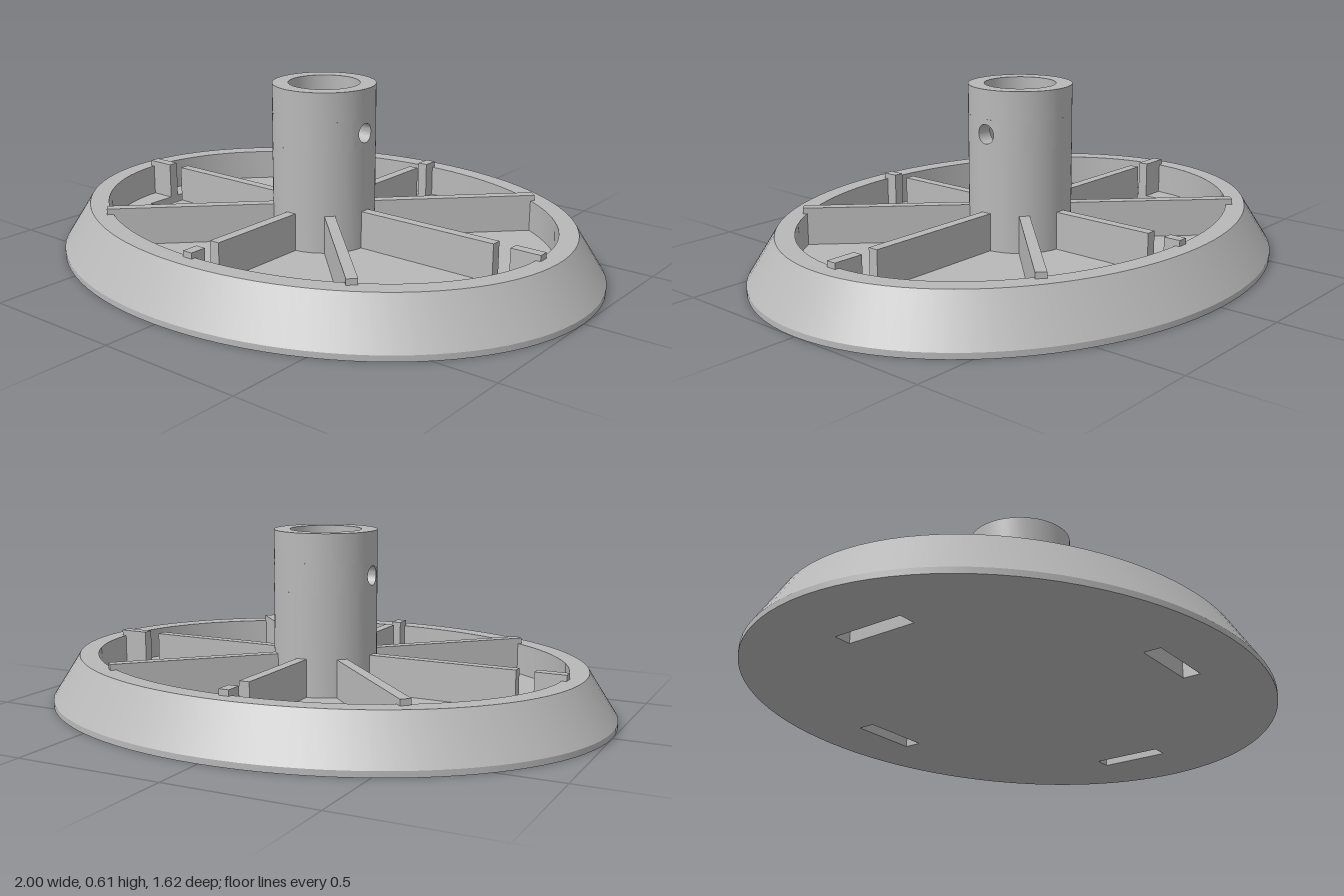
import * as THREE from 'three';
import { mergeGeometries, toCreasedNormals } from 'three/addons/utils/BufferGeometryUtils.js';

const FLOOR = 0.06, RIB_TOP = 0.19, RIB_WIDTH = 0.036;
const OUT = 0.177, IN = 0.122, POST_TOP = 0.61; // post radii and height
const HOLE_Y = 0.46, HOLE_R = 0.033, HALF = 0.05; // cross hole and its patch
const PATCH = HALF / OUT; // half angle of the patch

const lathe = (points, segments, start = 0, length = Math.PI * 2) =>
  new THREE.LatheGeometry(points.map(([r, y]) => new THREE.Vector2(r, y)), segments, start, length);

// Sloped oval rim: each ring is an ellipse with its depth 0.19 less than its width
function rimGeometry() {
  const g = lathe([[0.84, 0], [1, 0], [1, 0.02], [0.905, 0.17], [0.84, 0.17], [0.84, FLOOR]], 96);
  const p = g.attributes.position;
  for (let i = 0; i < p.count; i++) {
    const r = Math.hypot(p.getX(i), p.getZ(i));
    p.setZ(i, p.getZ(i) * (r - 0.19) / r);
  }
  return toCreasedNormals(g, 0.4);
}

// Oval floor with four slots
function floorGeometry() {
  const shape = new THREE.Shape();
  shape.absellipse(0, 0, 0.84, 0.65, 0, Math.PI * 2);
  const slot = (x, y, w, h) => {
    const a = w / 2, b = h / 2;
    shape.holes.push(new THREE.Path([[-a, -b], [-a, b], [a, b], [a, -b]]
      .map(([u, v]) => new THREE.Vector2(x + u, y + v))));
  };
  for (const s of [-1, 1]) {
    slot(s * 0.72, 0, 0.06, 0.25);
    slot(0, s * 0.577, 0.25, 0.06);
  }
  const g = new THREE.ExtrudeGeometry(shape, { depth: FLOOR, bevelEnabled: false, curveSegments: 96 });
  return g.rotateX(-Math.PI / 2);
}

// Curved wall patch pierced by a round hole, running outer face, bore, inner face
function holePatch(centre) {
  const g = new THREE.PlaneGeometry(1, 1, 32, 3);
  const p = g.attributes.position, uv = g.attributes.uv;
  for (let i = 0; i < p.count; i++) {
    const t = uv.getX(i) * Math.PI * 2, row = Math.round(uv.getY(i) * 3);
    const c = Math.cos(t), s = Math.sin(t);
    const R = row < 2 ? OUT : IN;
    const onHole = row === 1 || row === 2;
    const k = 1 / Math.max(Math.abs(c), Math.abs(s));
    const angle = centre + (onHole ? Math.asin(HOLE_R * c / R) : PATCH * k * c);
    const y = HOLE_Y + (onHole ? HOLE_R * s : HALF * k * s);
    p.setXYZ(i, R * Math.sin(angle), y, R * Math.cos(angle));
  }
  return g;
}

// Hollow post with a cross hole along x
function postGeometry() {
  const low = HOLE_Y - HALF, high = HOLE_Y + HALF;
  const parts = [
    lathe([[OUT, FLOOR], [OUT, low]], 64),
    lathe([[IN, low], [IN, FLOOR]], 64),
    lathe([[OUT, high], [OUT, POST_TOP], [IN, POST_TOP], [IN, high]], 64),
  ];
  for (const centre of [Math.PI / 2, -Math.PI / 2]) {
    const start = centre + PATCH, length = Math.PI - 2 * PATCH;
    parts.push(lathe([[OUT, low], [OUT, high]], 32, start, length));
    parts.push(lathe([[IN, high], [IN, low]], 32, start, length));
    parts.push(holePatch(centre));
  }
  return toCreasedNormals(mergeGeometries(parts), 0.6);
}

export function createModel() {
  const model = new THREE.Group();
  const grey = new THREE.MeshStandardMaterial({ color: 0xb8b8b8 });
  grey.name = 'plain grey';
  const add = (name, geometry) => {
    const mesh = new THREE.Mesh(geometry, grey);
    mesh.name = name;
    model.add(mesh);
    return mesh;
  };

  add('rim', rimGeometry());
  add('slottedFloor', floorGeometry());
  add('post', postGeometry());

  // Radial ribs; those along the axes are interrupted by the slots
  const rib = (name, angle, from, to) => {
    const g = new THREE.BoxGeometry(to - from, RIB_TOP - FLOOR, RIB_WIDTH);
    g.translate((from + to) / 2, (RIB_TOP + FLOOR) / 2, 0);
    add(name, g).rotation.y = angle;
  };
  for (let i = 0; i < 8; i++) {
    const angle = i * Math.PI / 4;
    if (i % 2) {
      rib('diagonalRib', angle, 0.16, 0.745);
    } else {
      const [gapStart, gapEnd, end] = i % 4 ? [0.547, 0.607, 0.665] : [0.69, 0.75, 0.855];
      rib('straightRib', angle, 0.16, gapStart);
      rib('ribEnd', angle, gapEnd, end);
    }
  }
  return model;
}
